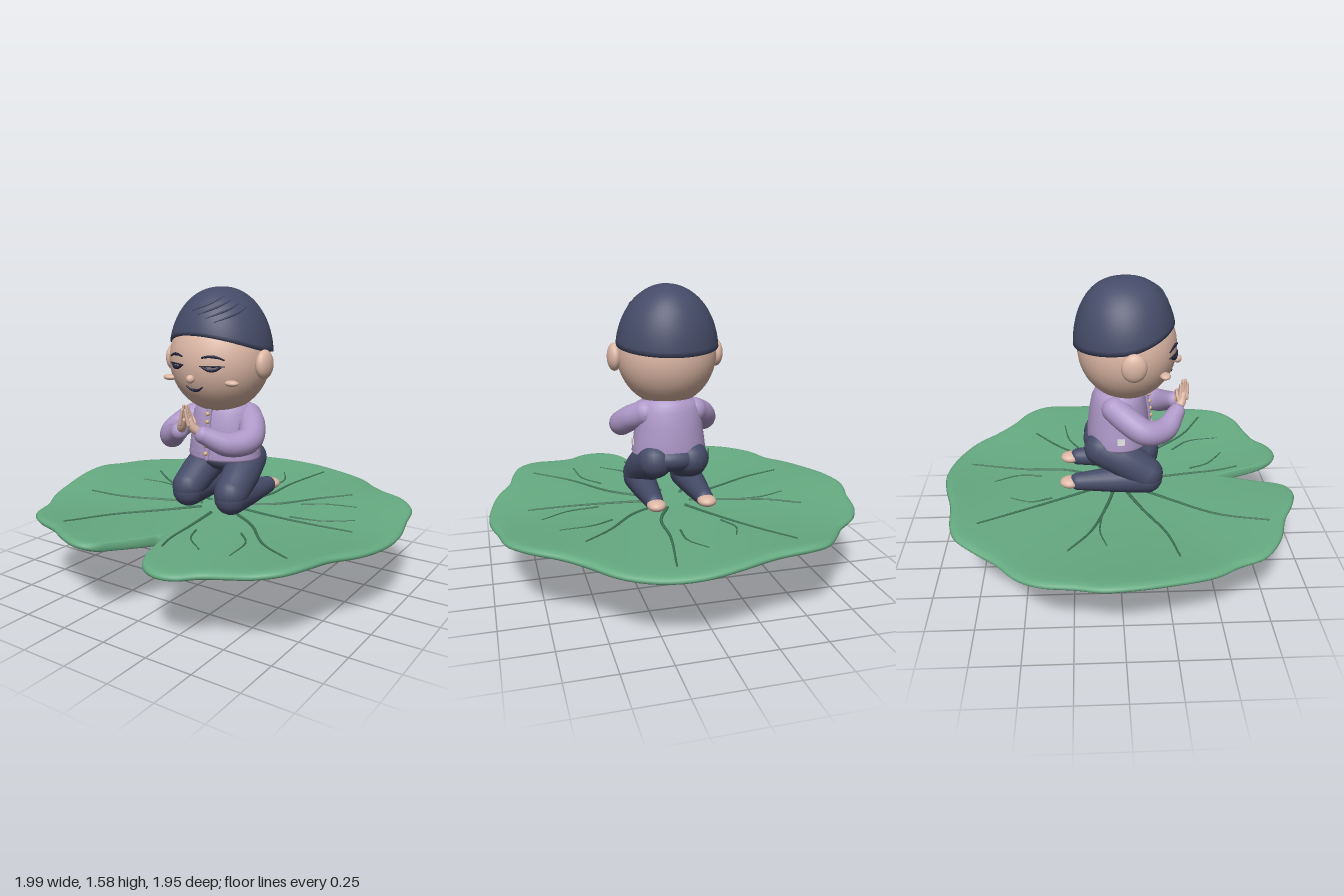
import * as THREE from 'three';
import { mergeGeometries } from 'three/addons/utils/BufferGeometryUtils.js';

const V = (x, y, z) => new THREE.Vector3(x, y, z);
const mat = (name, color) => {
  const m = new THREE.MeshStandardMaterial({ color });
  m.name = name;
  return m;
};

// Closed-ring surface, rows running from the top down; at(i, j) gives [x, y, z]
function loft(rows, cols, at) {
  const pos = [], idx = [];
  for (let i = 0; i < rows; i++) for (let j = 0; j < cols; j++) {
    pos.push(...at(i, j));
    if (i === rows - 1) continue;
    const a = i * cols + j, b = i * cols + (j + 1) % cols;
    idx.push(a, a + cols, b + cols, a, b + cols, b);
  }
  const g = new THREE.BufferGeometry();
  g.setAttribute('position', new THREE.Float32BufferAttribute(pos, 3));
  g.setIndex(idx);
  g.computeVertexNormals();
  return g;
}

// Round tube of varying radius with rounded ends
function limb(points, radii, sides = 20, steps = 24) {
  const curve = new THREE.CatmullRomCurve3(points);
  const g = new THREE.TubeGeometry(curve, steps, 1, sides);
  const p = g.attributes.position, n = g.attributes.normal;
  for (let i = 0; i < p.count; i++) {
    const u = Math.floor(i / (sides + 1)) / steps, f = u * (radii.length - 1);
    const k = Math.min(Math.floor(f), radii.length - 2);
    const r = THREE.MathUtils.lerp(radii[k], radii[k + 1], f - k), c = curve.getPointAt(u);
    p.setXYZ(i, c.x + n.getX(i) * r, c.y + n.getY(i) * r, c.z + n.getZ(i) * r);
  }
  const cap = (c, r) => new THREE.SphereGeometry(r, sides, Math.max(6, sides / 2)).translate(c.x, c.y, c.z);
  return mergeGeometries([g, cap(points[0], radii[0]), cap(points.at(-1), radii.at(-1))]);
}

const ball = (c, r) => new THREE.SphereGeometry(1, 40, 28).scale(...r).translate(...c);

// Leaf outline as x, z pairs, starting at the notch
const OUTLINE = [.03, .6, .085, .73, .13, .855, .19, .93, .28, .965, .37, .945, .46, .87, .57, .83, .68, .795,
  .78, .71, .83, .59, .865, .44, .94, .29, .985, .11, .995, -.08, .96, -.27, .93, -.43, .835, -.55, .70, -.635,
  .59, -.73, .47, -.855, .3, -.945, .11, -.98, -.075, -.955, -.26, -.905, -.45, -.88, -.555, -.84, -.65, -.73,
  -.73, -.625, -.85, -.52, -.92, -.4, -.957, -.24, -.995, -.11, -.985, .05, -.94, .24, -.877, .43, -.797, .56,
  -.74, .695, -.61, .797, -.45, .855, -.33, .92, -.21, .957, -.13, .93, -.075, .82, -.01, .68];
const MAIN_VEINS = [[-.14, -.25, -.29, -.51, -.43, -.74], [.13, -.28, .14, -.51, .2, -.845],
  [.25, -.155, .41, -.35, .555, -.487], [.33, .03, .57, .037, .785, .027], [.31, .21, .51, .43, .71, .56],
  [.06, .4, .085, .59, .12, .705], [-.2, .27, -.37, .51, -.465, .765], [-.29, .12, -.53, .23, -.73, .273],
  [-.26, -.07, -.5, -.16, -.66, -.273]];
const SIDE_VEINS = [[-.17, -.37, -.21, -.48, -.176, -.59], [.07, -.44, .07, -.57, 0, -.695],
  [.38, -.22, .49, -.28, .66, -.31], [.42, -.01, .59, -.04, .73, -.13], [.34, .35, .43, .455, .46, .64],
  [.12, .43, .165, .535, .29, .64], [-.36, -.1, -.5, -.11, -.63, -.08]];

// Shallow wavy bowl
const leafTop = (x, z) => {
  const r = Math.hypot(x, z);
  return .385 + .035 * r * r - .008 * x * r - .018 * r ** 3 * Math.sin(5 * Math.atan2(x, z));
};

export function createModel() {
  const leafGreen = mat('leaf green', 0x66ab82), veinGreen = mat('vein green', 0x3f7456);
  const navy = mat('navy', 0x464c69), skin = mat('skin', 0xdcb7a5), lilac = mat('lilac', 0xae98c8);
  const ink = mat('dark ink', 0x23263f), gold = mat('button gold', 0xd2b083), white = mat('white', 0xf7f7f7);
  const model = new THREE.Group(), figure = new THREE.Group();
  figure.name = 'kneelingFigure';
  figure.position.x = .013;
  model.add(figure);
  const add = (name, geo, m, parent = figure) => {
    const mesh = new THREE.Mesh(geo, m);
    mesh.name = name;
    parent.add(mesh);
    return mesh;
  };

  // Leaf: top surface, rounded rim, underside
  const pts = [];
  for (let i = 0; i < OUTLINE.length; i += 2) pts.push(V(OUTLINE[i], 0, OUTLINE[i + 1]));
  const edge = new THREE.CatmullRomCurve3(pts, true), cols = 176;
  const rim = Array.from({ length: cols }, (_, j) => edge.getPoint(j / cols));
  const section = [];  // [radial fraction, depth through the leaf]
  for (let i = 0; i <= 16; i++) section.push([i * .96 / 16, 0]);
  section.push([.982, .12], [.995, .35], [1, .6], [.993, .85], [.975, 1]);
  for (let i = 12; i >= 0; i--) section.push([i * .95 / 12, 1]);
  add('lilyPad', loft(section.length, cols, (i, j) => {
    const [s, d] = section[i], x = .03 + (rim[j].x - .03) * s, z = .1 + (rim[j].z - .1) * s;
    return [x, leafTop(x, z) - d * (.078 - .04 * Math.min(1, Math.hypot(x, z))), z];
  }), leafGreen, model);

  // Raised veins following the surface
  const vein = (flat, r) => {
    const c = new THREE.CatmullRomCurve3(flat);
    return limb(c.getPoints(12).map(p => V(p.x, leafTop(p.x, p.z) + .001, p.z)), [r, r * .5], 6, 20);
  };
  const flat = a => [0, 2, 4].map(k => V(a[k], 0, a[k + 1]));
  MAIN_VEINS.forEach(a => add('mainVein', vein([V(a[0] * .4, 0, a[1] * .4), ...flat(a)], .01), veinGreen, model));
  SIDE_VEINS.forEach(a => add('sideVein', vein(flat(a), .006), veinGreen, model));

  // Stem with a narrow neck under the leaf
  const profile = [[0, 0], [.024, 0], [.027, .1], [.034, .2], [.04, .255], [.024, .275], [.036, .305], [.045, .34]];
  const stem = add('stem', new THREE.LatheGeometry(profile.map(p => new THREE.Vector2(...p)), 20), leafGreen, model);
  stem.position.set(-.08, .005, -.03);
  stem.quaternion.setFromUnitVectors(V(0, 1, 0), V(.09, .3, .05).normalize());

  // Head, ears and nose
  const H = { y: 1.21, z: .05, rx: .268, ry: .28, rz: .262 };
  add('head', ball([0, H.y, H.z], [H.rx, H.ry, H.rz]), skin);
  add('nose', ball([0, 1.133, .318], [.022, .022, .022]), skin);
  const onFace = (x, y) => V(x, y, H.z + H.rz * Math.sqrt(1 - (x / H.rx) ** 2 - ((y - H.y) / H.ry) ** 2) + .002);
  const stroke = (name, list, radii) => add(name, limb(list.map(p => onFace(...p)), radii, 8, 16), ink);
  stroke('mouth', [[-.048, 1.09], [-.025, 1.075], [0, 1.071], [.025, 1.075], [.048, 1.09]], [.004, .009, .004]);
  for (const s of [-1, 1]) {
    add('ear', ball([s * .282, 1.2, .07], [.038, .075, .065]), skin);
    add('cheek', ball([s * .192, 1.117, .235], [.038, .016, .028]), skin);
    stroke('eyebrow', [[s * .062, 1.243], [s * .1, 1.25], [s * .14, 1.244], [s * .163, 1.233]], [.005, .008, .004]);
    stroke('closedEye', [[s * .062, 1.197], [s * .09, 1.184], [s * .125, 1.184], [s * .15, 1.197]], [.005, .011, .005]);
    stroke('eyelash', [[s * .05, 1.2], [s * .1, 1.201], [s * .165, 1.2]], [.003, .005, .003]);
  }

  // Hair cap, hairline higher at the brow and lower at the nape
  const hairPoint = (cosT, a, k = 1) => {
    const sinT = Math.sqrt(Math.max(0, 1 - cosT * cosT)), c = Math.cos(a);
    return [.276 * sinT * Math.sin(a) * k, 1.23 + .35 * cosT, .04 + (c > 0 ? .268 : .272) * sinT ** .8 * c * k];
  };
  add('hair', loft(22, 56, (i, j) => {
    const a = j / 56 * Math.PI * 2, c = Math.cos(a);
    const line = 1.262 + (c > 0 ? .085 * c ** 1.3 : .03 * c);
    const end = Math.acos((line - 1.23) / .35), t = Math.min(i, 20) / 20;
    return hairPoint(Math.cos(end * t), a, i === 21 ? .88 : 1);
  }), navy);
  // Swept strands on the crown
  for (let k = 0; k < 4; k++) {
    const path = [0, .33, .66, 1].map(t => V(...hairPoint(.68 + .2 * t - .05 * k, -.15 + .2 * k + .9 * t)));
    add('hairStrand', limb(path, [.003, .007, .003], 8, 16), navy);
  }

  // Shirt body: y, half width, half depth
  const rings = [[1.0, .01, .01], [.99, .1, .09], [.965, .15, .125], [.92, .178, .145], [.84, .185, .16],
    [.76, .195, .168], [.69, .205, .172], [.677, .2, .168], [.677, .01, .01]];
  add('shirt', loft(rings.length, 48, (i, j) => {
    const a = j / 48 * Math.PI * 2, [y, w, d] = rings[i];
    return [w * Math.sin(a), y, .005 + d * Math.cos(a)];
  }), lilac);
  add('placket', limb([V(0, .95, .148), V(0, .84, .166), V(0, .69, .178)], [.014, .014], 10), lilac);
  for (let i = 0; i < 6; i++) add('button', ball([0, .93 - i * .042, .168 + i * .0045], [.012, .012, .012]), gold);

  for (const s of [-1, 1]) {
    // Pocket flaps and side vents
    for (const y of [.775, .715]) {
      const flap = add('pocketFlap', new THREE.BoxGeometry(.08, .014, .008), lilac);
      flap.position.set(s * .085, y, .158);
      flap.rotation.y = s * .4;
    }
    add('sideVent', new THREE.BoxGeometry(.006, .035, .04), white).position.set(s * .2, .742, .012);

    // Sleeve, bent at the elbow toward the joined hands
    add('sleeve', limb([V(s * .135, .905, -.02), V(s * .2, .865, .05), V(s * .235, .815, .14),
      V(s * .18, .805, .24), V(s * .075, .855, .315)], [.07, .07, .068, .062, .045]), lilac);

    // Hand with palm, fingers and thumb
    add('palm', limb([V(s * .06, .865, .32), V(s * .035, .895, .345), V(s * .018, .93, .355)], [.022, .024, .018], 14), skin);
    for (let f = 0; f < 4; f++) {
      const z = .336 + f * .012, top = [.975, 1, 1.005, .985][f];
      add('finger', limb([V(s * .026, .91, z), V(s * .016, .95, z + .004), V(s * .009, top, z + .005)], [.01, .009, .007], 8, 8), skin);
    }
    add('thumb', limb([V(s * .04, .89, .335), V(s * .025, .925, .322), V(s * .012, .945, .32)], [.011, .008], 8, 8), skin);

    // Folded leg and foot
    add('thigh', limb([V(s * .1, .655, -.09), V(s * .125, .6, .03), V(s * .137, .515, .155)], [.095, .1, .09]), navy);
    add('shin', limb([V(s * .137, .49, .155), V(s * .137, .48, 0), V(s * .137, .47, -.22)], [.088, .07, .048]), navy);
    add('foot', ball([s * .137, .468, -.265], [.05, .03, .055]), skin);
  }
  add('hips', ball([0, .665, -.04], [.185, .085, .148]), navy);
  return model;
}
